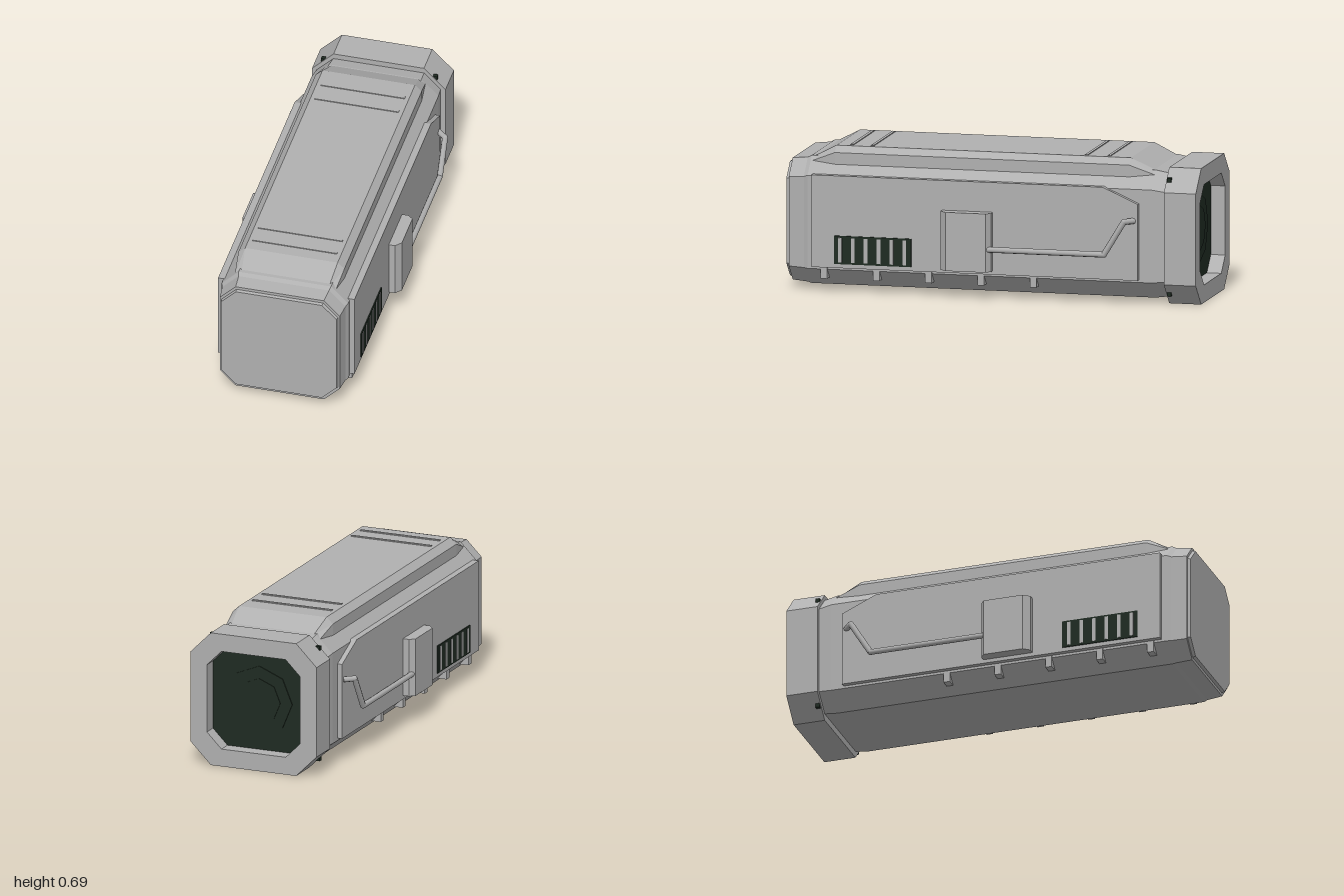
import * as THREE from 'three';

const metal = new THREE.MeshStandardMaterial({ color: 0xb0b0b0 });
metal.name = 'grey metal';
const dark = new THREE.MeshStandardMaterial({ color: 0x1f2b22 });
dark.name = 'dark green';

// Chamfered rectangle, counter-clockwise seen from the front
function octagon(hx, y0, y1, c) {
  return [[hx - c, y0], [hx, y0 + c], [hx, y1 - c], [hx - c, y1],
    [c - hx, y1], [-hx, y1 - c], [-hx, y0 + c], [c - hx, y0]];
}

// Closed flat-faced solid through sections [z, points], ordered back to front
function loft(sections) {
  const pos = [];
  const tri = (...p) => p.forEach((v) => pos.push(...v));
  const rings = sections.map(([z, pts]) => pts.map(([x, y]) => [x, y, z]));
  const n = rings[0].length;
  for (let i = 0; i < rings.length - 1; i++) {
    for (let j = 0; j < n; j++) {
      const k = (j + 1) % n;
      const [a, b, c, d] = [rings[i][j], rings[i][k], rings[i + 1][k], rings[i + 1][j]];
      tri(a, b, c);
      tri(a, c, d);
    }
  }
  const back = rings[0], front = rings[rings.length - 1];
  for (let j = 1; j < n - 1; j++) {
    tri(back[0], back[j + 1], back[j]);
    tri(front[0], front[j], front[j + 1]);
  }
  const geo = new THREE.BufferGeometry();
  geo.setAttribute('position', new THREE.Float32BufferAttribute(pos, 3));
  geo.computeVertexNormals();
  return geo;
}

const shapeOf = (pts) => new THREE.Shape(pts.map(([x, y]) => new THREE.Vector2(x, y)));
const extrude = (shape, depth) => new THREE.ExtrudeGeometry(shape, { depth, bevelEnabled: false });

export function createModel() {
  const model = new THREE.Group();
  model.name = 'container';

  const add = (name, geo, mat, x = 0, y = 0, z = 0) => {
    const mesh = new THREE.Mesh(geo, mat);
    mesh.name = name;
    mesh.position.set(x, y, z);
    model.add(mesh);
    return mesh;
  };
  const box = (name, mat, w, h, d, x, y, z) => add(name, new THREE.BoxGeometry(w, h, d), mat, x, y, z);

  // Main hull with tapered ends
  add('hull', loft([
    [-0.86, octagon(0.3, 0.035, 0.62, 0.08)],
    [-0.78, octagon(0.308, 0.025, 0.635, 0.083)],
    [0.89, octagon(0.308, 0.025, 0.635, 0.083)],
    [0.91, octagon(0.3, 0.03, 0.625, 0.08)],
    [0.985, octagon(0.292, 0.036, 0.618, 0.077)],
  ]), metal);

  // Front panel
  add('frontPanel', loft([
    [0.98, octagon(0.285, 0.05, 0.605, 0.073)],
    [1, octagon(0.279, 0.055, 0.6, 0.07)],
  ]), metal);

  // Raised spine on the roof, sloping down at both ends
  const spine = (w, top, shoulder) => [[w, 0.6], [w, shoulder], [w - 0.033, top],
    [0.033 - w, top], [-w, shoulder], [-w, 0.6]];
  add('roofSpine', loft([
    [-0.78, spine(0.245, 0.632, 0.615)],
    [-0.66, spine(0.258, 0.688, 0.658)],
    [0.77, spine(0.258, 0.688, 0.658)],
    [0.89, spine(0.245, 0.625, 0.61)],
  ]), metal);
  for (const z of [0.7, 0.6, -0.44, -0.55]) {
    box('roofStrip', metal, 0.41, 0.008, 0.015, 0, 0.688, z);
  }

  // Rear collar with a recessed dark opening
  const ring = shapeOf(octagon(0.325, 0, 0.65, 0.105));
  ring.holes.push(shapeOf(octagon(0.24, 0.085, 0.565, 0.075)));
  add('rearCollar', extrude(ring, 0.155), metal, 0, 0, -1);
  add('rearRecess', extrude(shapeOf(octagon(0.245, 0.08, 0.57, 0.076)), 0.06), dark, 0, 0, -0.93);
  for (const [r, h] of [[0.17, 0.006], [0.11, 0.012]]) {
    add('rearDisc', new THREE.CylinderGeometry(r, r, h, 8), dark, 0, 0.325, -0.932).rotation.x = Math.PI / 2;
  }

  // Everything repeated on both flanks
  for (const s of [1, -1]) {
    // Side plate with the rear top corner cut away
    const plate = shapeOf([[-0.72, 0.12], [0.865, 0.12], [0.865, 0.56], [-0.55, 0.56], [-0.72, 0.485]]);
    add('sidePlate', extrude(plate, 0.032), metal, s > 0 ? 0.332 : -0.3).rotation.y = -Math.PI / 2;

    // Bevelled block on the plate
    const block = shapeOf([[0.32, -0.23], [0.362, -0.23], [0.388, -0.2], [0.388, -0.005],
      [0.362, 0.015], [0.32, 0.015]].map(([x, y]) => [x * s, y]));
    add('sideBlock', extrude(block, 0.28), metal, 0, 0.138).rotation.x = -Math.PI / 2;

    // Bent handrail
    const path = [[0.371, 0.245, 0.02], [0.371, 0.245, -0.565], [0.371, 0.405, -0.662], [0.328, 0.405, -0.7]]
      .map(([x, y, z]) => new THREE.Vector3(x * s, y, z));
    for (let i = 0; i < path.length - 1; i++) {
      const dir = path[i + 1].clone().sub(path[i]);
      const rail = add('handrail', new THREE.CylinderGeometry(0.014, 0.014, dir.length(), 8), metal);
      rail.position.copy(path[i]).addScaledVector(dir, 0.5);
      rail.quaternion.setFromUnitVectors(new THREE.Vector3(0, 1, 0), dir.normalize());
      if (i > 0) add('railJoint', new THREE.SphereGeometry(0.014, 8, 6), metal, ...path[i].toArray());
    }

    // Vent grille with slats
    box('ventPanel', dark, 0.008, 0.135, 0.375, s * 0.333, 0.207, 0.567);
    for (let i = 0; i < 6; i++) {
      box('ventSlat', metal, 0.01, 0.118, 0.018, s * 0.3345, 0.207, 0.725 - i * 0.0625);
    }

    // Clips along the lower edge
    for (let i = 0; i < 5; i++) {
      box('lowerClip', metal, 0.05, 0.055, 0.032, s * 0.285, 0.09, 0.81 - i * 0.254);
    }

    // Small pins on the collar chamfers
    for (const y of [0.054, 0.598]) {
      box('collarPin', dark, 0.022, 0.02, 0.02, s * 0.272, y, -0.86);
    }
  }
  return model;
}
